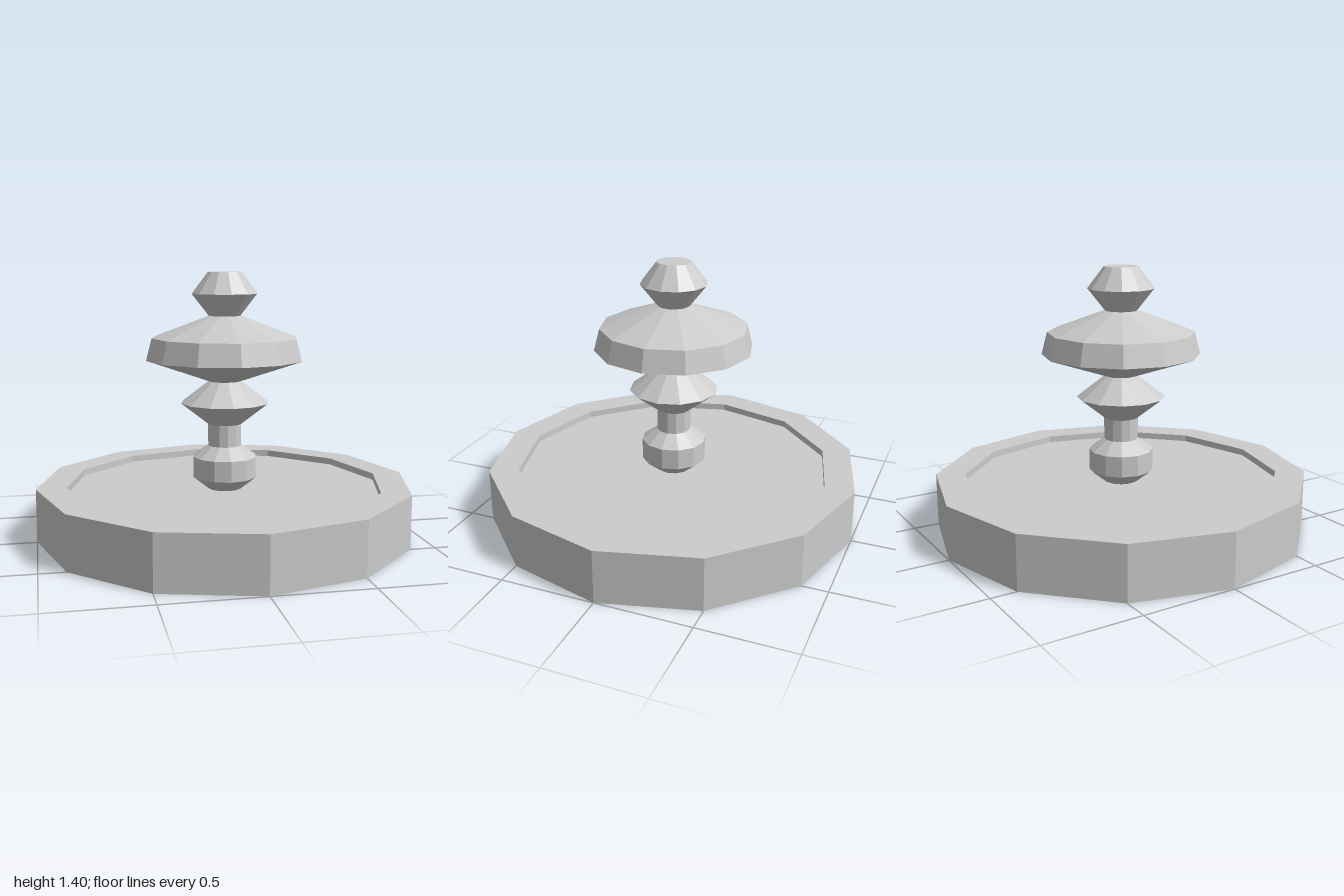
import * as THREE from 'three';

const SIDES = 12;
const material = new THREE.MeshStandardMaterial({ color: 0xcccccc, flatShading: true });

// Faceted turned part from [radius, height] pairs, listed bottom to top
function turned(name, profile) {
  const points = profile.map(([r, y]) => new THREE.Vector2(r, y));
  const mesh = new THREE.Mesh(new THREE.LatheGeometry(points, SIDES), material);
  mesh.name = name;
  return mesh;
}

export function createModel() {
  const group = new THREE.Group();
  group.name = 'tieredFountain';

  // Wide basin with a shallow recessed floor
  group.add(turned('basin', [
    [0, 0], [1, 0], [1, 0.283], [0.843, 0.283], [0.843, 0.247], [0, 0.247],
  ]));

  // Rounded foot and slim neck
  group.add(turned('pedestal', [
    [0.09, 0.247], [0.171, 0.312], [0.171, 0.422], [0.09, 0.482], [0.09, 0.598],
  ]));

  // Small double-cone collar
  group.add(turned('collar', [[0.09, 0.598], [0.235, 0.712], [0.085, 0.827]]));

  // Broad upper tier
  group.add(turned('upperTier', [
    [0.085, 0.827], [0.418, 0.942], [0.388, 1.058], [0.085, 1.172],
  ]));

  // Finial with a flat top
  group.add(turned('finial', [
    [0.085, 1.172], [0.176, 1.287], [0.09, 1.4], [0, 1.4],
  ]));

  return group;
}
